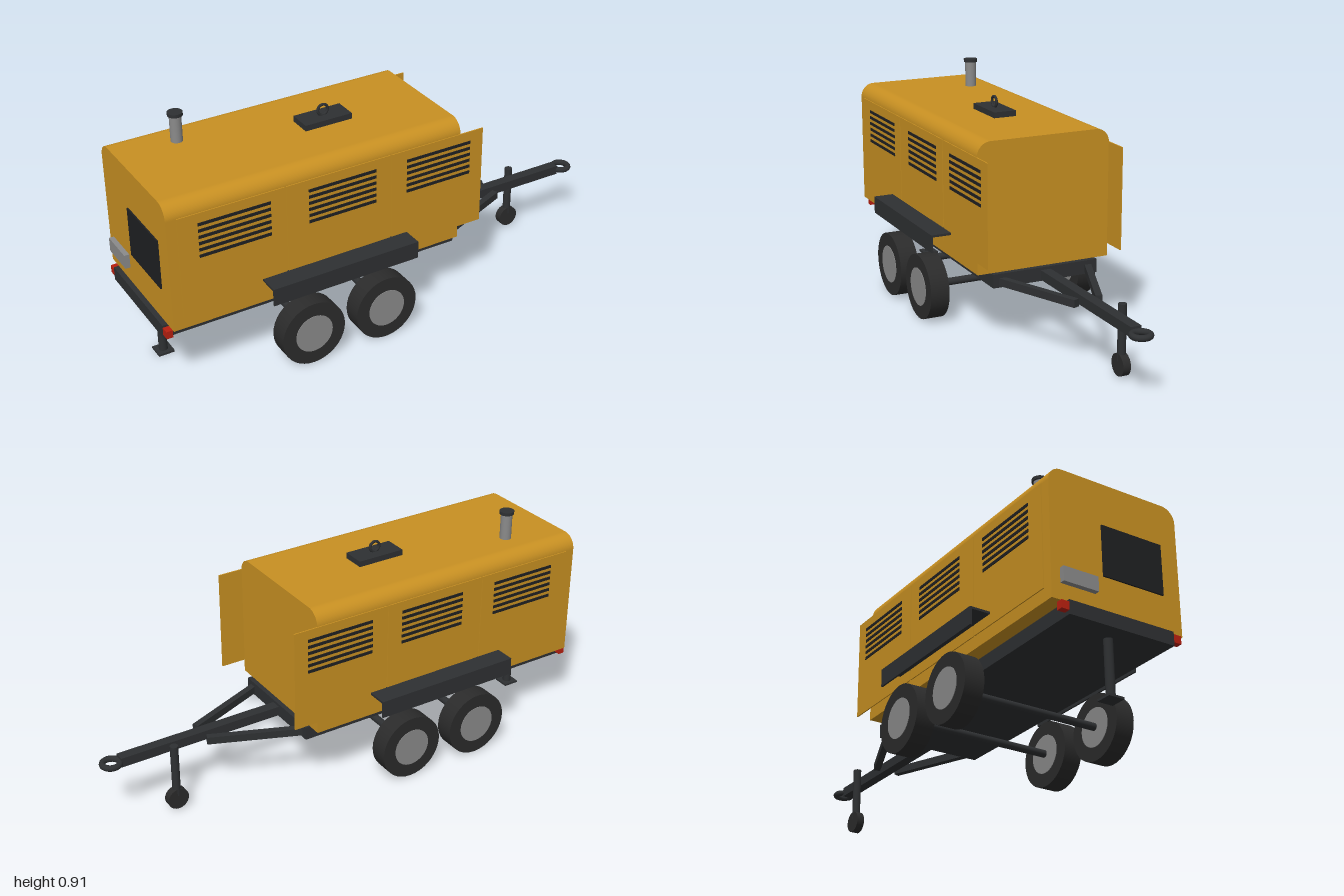
import * as THREE from 'three';

const mat = (name, color) => Object.assign(new THREE.MeshStandardMaterial({ color }), { name });

export function createModel() {
  const yellow = mat('yellowPaint', 0xc89022);
  const dark = mat('darkFrame', 0x2e3032);
  const rubber = mat('tyreRubber', 0x2b2b2b);
  const black = mat('blackVent', 0x1f2022);
  const grey = mat('greyMetal', 0x8a8a8a);
  const red = mat('redLamp', 0xb82010);
  const root = new THREE.Group();
  root.name = 'towedGenerator';

  const add = (name, geo, m, x = 0, y = 0, z = 0) => {
    const mesh = new THREE.Mesh(geo, m);
    mesh.name = name;
    mesh.position.set(x, y, z);
    root.add(mesh);
    return mesh;
  };
  // box from its minimum and maximum on each axis
  const box = (name, m, x0, x1, y0, y1, z0, z1) =>
    add(name, new THREE.BoxGeometry(x1 - x0, y1 - y0, z1 - z0), m, (x0 + x1) / 2, (y0 + y1) / 2, (z0 + z1) / 2);
  const post = (name, m, r, x, y0, y1, z) =>
    add(name, new THREE.CylinderGeometry(r, r, y1 - y0, 24), m, x, (y0 + y1) / 2, z);
  const disc = (name, m, r, width, x, y, z) =>
    add(name, new THREE.CylinderGeometry(r, r, width, 36).rotateX(Math.PI / 2), m, x, y, z);

  // canopy with rounded long top edges, extruded along x
  const w = 0.277, top = 0.79, base = 0.28, r = 0.056;
  const section = new THREE.Shape();
  section.moveTo(-w, base);
  section.lineTo(w, base);
  section.lineTo(w, top - r);
  section.absarc(w - r, top - r, r, 0, Math.PI / 2);
  section.lineTo(-w + r, top);
  section.absarc(-w + r, top - r, r, Math.PI / 2, Math.PI);
  const canopy = new THREE.ExtrudeGeometry(section, { depth: 1.21, bevelEnabled: false, curveSegments: 10 });
  add('canopy', canopy.rotateY(Math.PI / 2), yellow, -0.98);

  // side doors with louvres, and mudguards
  const doors = [[-0.94, -0.522, -0.722], [-0.516, -0.082, -0.285], [-0.076, 0.33, 0.131]];
  for (const s of [-1, 1]) {
    for (const [x0, x1, cx] of doors) {
      const door = box('sideDoor', yellow, x0, x1, 0.33, 0.735, 0, 0.005);
      door.position.z = s * 0.2785;
      for (let i = 0; i < 6; i++) {
        add('louvre', new THREE.BoxGeometry(0.283, 0.012, 0.004), black, cx, 0.562 + i * 0.0257, s * 0.2815);
      }
    }
    add('mudguardTop', new THREE.BoxGeometry(0.615, 0.009, 0.087), dark, -0.315, 0.377, s * 0.3195);
    add('mudguardSkirt', new THREE.BoxGeometry(0.615, 0.07, 0.007), dark, -0.315, 0.346, s * 0.3595);
  }

  // rear cooling grille and control box
  box('rearGrille', black, -0.986, -0.979, 0.42, 0.62, -0.06, 0.2);
  box('controlBox', grey, -1, -0.98, 0.343, 0.4, -0.24, -0.095);

  // exhaust stack
  post('exhaustPipe', grey, 0.023, -0.74, 0.785, 0.897, -0.138);
  post('exhaustCap', dark, 0.029, -0.74, 0.895, 0.908, -0.138);

  // lifting point
  box('liftPlate', dark, -0.305, -0.107, 0.788, 0.813, -0.047, 0.047);
  add('liftRing', new THREE.TorusGeometry(0.021, 0.0055, 10, 28), dark, -0.206, 0.834, 0);

  // chassis and rear lamps
  box('chassis', dark, -1, 0.248, 0.225, 0.279, -0.221, 0.221);
  for (const s of [-1, 1]) {
    add('tailLamp', new THREE.BoxGeometry(0.025, 0.031, 0.032), red, -0.987, 0.255, s * 0.237);
  }

  // twin axles and wheels
  for (const x of [-0.462, -0.147]) {
    disc('axle', dark, 0.015, 0.6, x, 0.132, 0);
    for (const s of [-1, 1]) {
      disc('tyre', rubber, 0.131, 0.078, x, 0.131, s * 0.325);
      disc('hub', grey, 0.077, 0.082, x, 0.131, s * 0.325);
    }
  }

  // drawbar, bracing struts and towing eye
  box('drawbar', dark, 0.22, 0.922, 0.23, 0.268, -0.021, 0.021);
  for (const s of [-1, 1]) {
    const a = new THREE.Vector2(0.235, s * 0.188), b = new THREE.Vector2(0.58, s * 0.046);
    const strut = add('drawbarStrut', new THREE.BoxGeometry(a.distanceTo(b), 0.03, 0.026), dark,
      (a.x + b.x) / 2, 0.247, (a.y + b.y) / 2);
    strut.rotation.y = -Math.atan2(b.y - a.y, b.x - a.x);
  }
  add('towingEye', new THREE.TorusGeometry(0.033, 0.012, 12, 32).rotateX(Math.PI / 2), dark, 0.955, 0.248, 0);

  // jockey wheel
  post('jockeyPost', dark, 0.016, 0.725, 0.06, 0.277, -0.06);
  disc('jockeyWheel', rubber, 0.043, 0.031, 0.725, 0.046, -0.06);

  // rear prop stand
  post('standLeg', dark, 0.017, -0.917, 0, 0.23, 0);
  box('standFoot', dark, -0.949, -0.885, 0, 0.008, -0.032, 0.032);

  return root;
}
